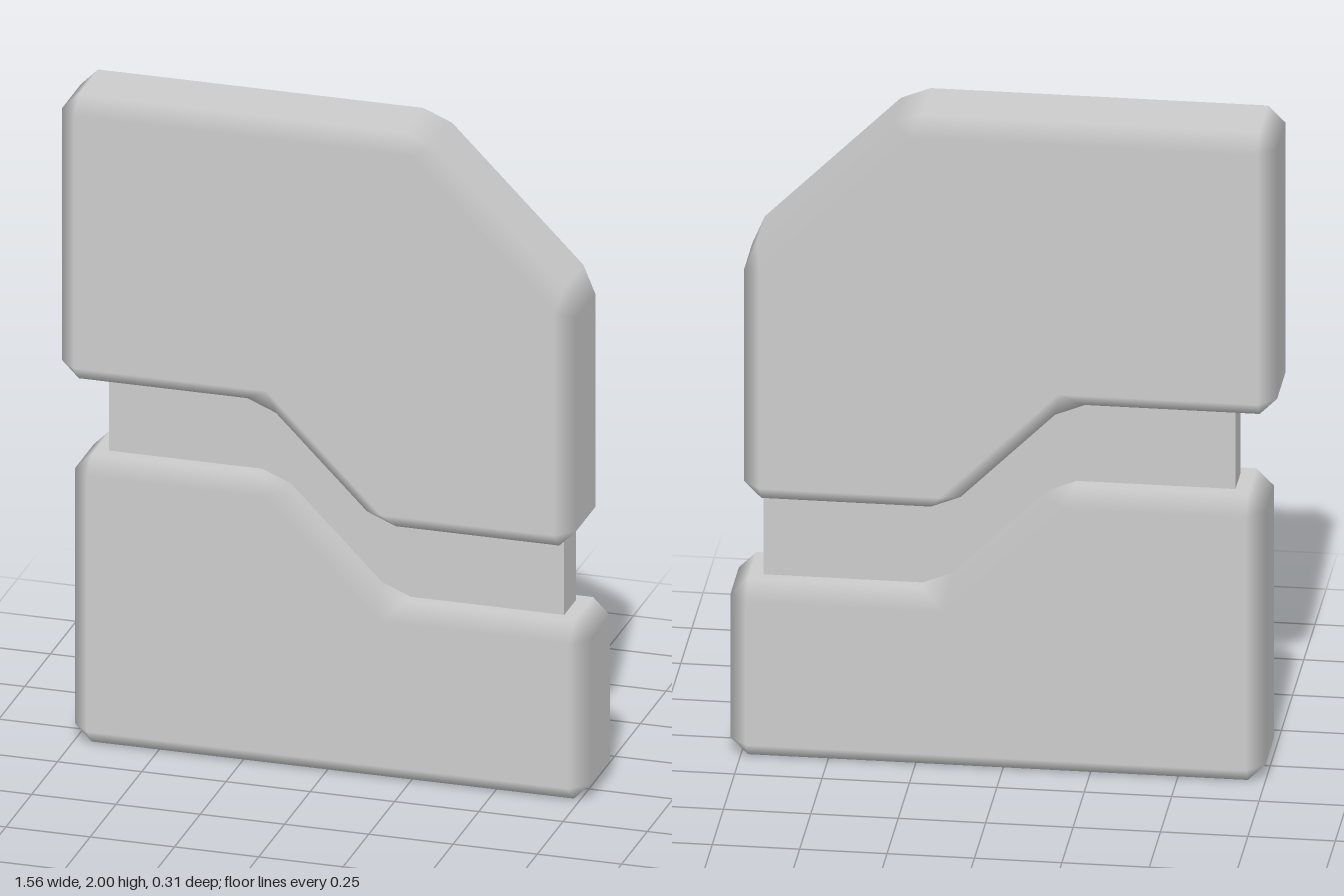
import * as THREE from 'three';

const grey = new THREE.MeshStandardMaterial({ color: 0xcccccc });
grey.name = 'plain grey';

// Slab from a counter-clockwise outline, with a one-step bevel on every edge.
// Normals stay flat on the big faces and blend across the bevels.
function bevelledSlab(name, outline, zBack, zFront, bevel) {
  const pts = outline.map(([x, y]) => new THREE.Vector2(x, y));
  const n = pts.length;
  const dirs = pts.map((p, i) => pts[(i + 1) % n].clone().sub(p).normalize());
  const outs = dirs.map((d) => new THREE.Vector2(d.y, -d.x));

  // face corners: mitred inset of the outline
  const inset = pts.map((p, i) => {
    const a = outs[(i + n - 1) % n], b = outs[i];
    return p.clone().addScaledVector(a.clone().add(b), -bevel / (1 + a.dot(b)));
  });
  // rim points: start and end of each side, pulled back along the edge
  const starts = pts.map((p, i) => p.clone().addScaledVector(dirs[i], bevel));
  const ends = pts.map((p, i) => pts[(i + 1) % n].clone().addScaledVector(dirs[i], -bevel));

  const positions = [], normals = [];
  const tri = (...verts) => verts.forEach((v) => {
    positions.push(v.p.x, v.p.y, v.z);
    normals.push(v.n.x, v.n.y, v.n.z);
  });
  const quad = (a, b, c, d) => { tri(a, b, c); tri(a, c, d); };
  const rim = (p, z, i) => ({ p, z, n: new THREE.Vector3(outs[i].x, outs[i].y, 0) });
  const caps = THREE.ShapeUtils.triangulateShape(inset, []);

  for (const side of [1, -1]) {
    const zFace = side > 0 ? zFront : zBack;
    const zRim = zFace - side * bevel;
    const face = (i) => ({ p: inset[i], z: zFace, n: new THREE.Vector3(0, 0, side) });
    const facing = (a, b, c) => (side > 0 ? tri(a, b, c) : tri(a, c, b));
    caps.forEach(([a, b, c]) => facing(face(a), face(b), face(c)));
    for (let i = 0; i < n; i++) {
      const next = (i + 1) % n;
      const s = rim(starts[i], zRim, i), e = rim(ends[i], zRim, i);
      facing(s, e, face(next));
      facing(s, face(next), face(i));
      facing(e, rim(starts[next], zRim, next), face(next));
    }
  }
  // side walls and corner chamfers
  const z0 = zBack + bevel, z1 = zFront - bevel;
  for (let i = 0; i < n; i++) {
    const next = (i + 1) % n;
    quad(rim(starts[i], z0, i), rim(ends[i], z0, i), rim(ends[i], z1, i), rim(starts[i], z1, i));
    quad(rim(ends[i], z0, i), rim(starts[next], z0, next), rim(starts[next], z1, next), rim(ends[i], z1, i));
  }

  const geometry = new THREE.BufferGeometry();
  geometry.setAttribute('position', new THREE.Float32BufferAttribute(positions, 3));
  geometry.setAttribute('normal', new THREE.Float32BufferAttribute(normals, 3));
  const mesh = new THREE.Mesh(geometry, grey);
  mesh.name = name;
  return mesh;
}

export function createModel() {
  const model = new THREE.Group();
  model.name = 'splitBlock';

  // upper block with one cut corner and a stepped underside
  model.add(bevelledSlab('upperBlock', [
    [-0.78, 1.125], [-0.18, 1.125], [0.16, 0.785], [0.745, 0.785],
    [0.745, 1.54], [0.285, 2], [-0.78, 2],
  ], -0.13, 0.157, 0.05));

  // lower block with the matching stepped top
  model.add(bevelledSlab('lowerBlock', [
    [-0.75, 0], [0.78, 0], [0.78, 0.545], [0.185, 0.545],
    [-0.155, 0.885], [-0.75, 0.885],
  ], -0.157, 0.13, 0.05));

  // thin plate joining the two blocks
  const core = new THREE.Mesh(new THREE.BoxGeometry(1.35, 0.75, 0.115), grey);
  core.name = 'corePlate';
  core.position.set(0.015, 0.835, -0.015);
  model.add(core);

  return model;
}
